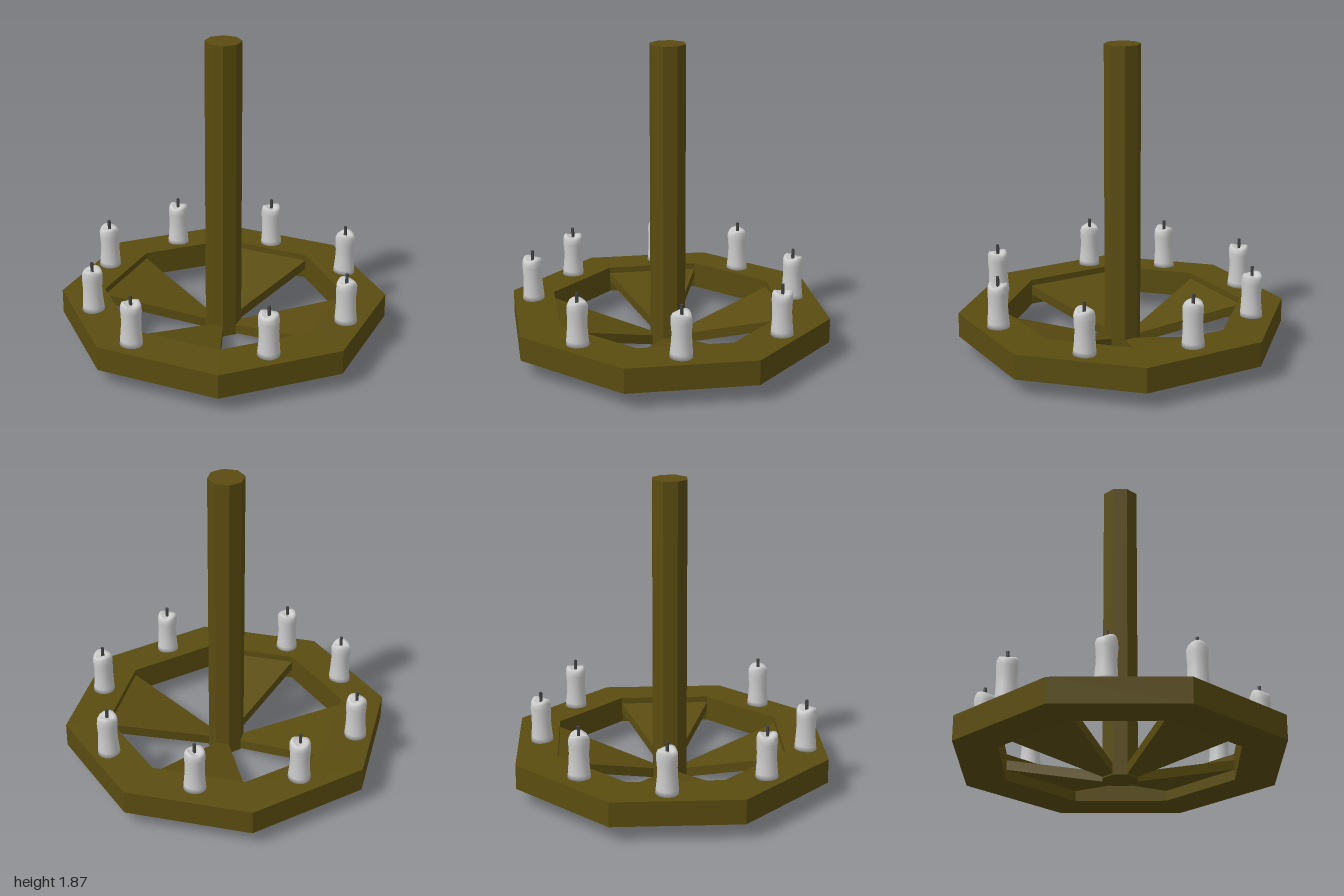
import * as THREE from 'three';
import { mergeVertices } from 'three/addons/utils/BufferGeometryUtils.js';

const SIDES = 8, RING_INNER = 0.735, POLE_RADIUS = 0.11;

const wood = new THREE.MeshStandardMaterial({ color: 0x5a4c10, flatShading: true });
const wax = new THREE.MeshStandardMaterial({ color: 0xcccccc });
const wickMat = new THREE.MeshStandardMaterial({ color: 0x444444 });

function part(name, geometry, material, parent) {
  const mesh = new THREE.Mesh(geometry, material);
  mesh.name = name;
  parent.add(mesh);
  return mesh;
}

const profile = (pairs) => pairs.map(([x, y]) => new THREE.Vector2(x, y));

// Sloping wedge between the pole and one side of the ring, bent from a box
function wedgeGeometry() {
  const geo = new THREE.BoxGeometry(1, 1, 1);
  const p = geo.attributes.position;
  for (let i = 0; i < p.count; i++) {
    const angle = p.getX(i) > 0 ? Math.PI / 4 : 0;
    const outer = p.getZ(i) > 0;
    const r = outer ? RING_INNER + 0.005 : POLE_RADIUS - 0.01;
    const y = (outer ? 0.165 : 0.005) + (p.getY(i) > 0 ? 0.06 : 0);
    p.setXYZ(i, r * Math.sin(angle), y, r * Math.cos(angle));
  }
  geo.computeVertexNormals();
  return geo;
}

// Melted candle body with wavy sides and an uneven rim around a hollow
function candleGeometry() {
  const lathe = new THREE.LatheGeometry(profile([
    [0, 0], [0.068, 0], [0.065, 0.03], [0.06, 0.09], [0.058, 0.15],
    [0.062, 0.21], [0.061, 0.25], [0.052, 0.27], [0.035, 0.264], [0, 0.25],
  ]), 16);
  lathe.deleteAttribute('normal');
  lathe.deleteAttribute('uv');
  const geo = mergeVertices(lathe, 1e-4);
  const p = geo.attributes.position;
  for (let i = 0; i < p.count; i++) {
    const x = p.getX(i), y = p.getY(i), z = p.getZ(i);
    const a = Math.atan2(x, z);
    const s = 1 + 0.025 * Math.sin(3 * a + y * 20);
    const onRim = y > 0.24 && Math.hypot(x, z) > 0.01;
    p.setXYZ(i, x * s, y + (onRim ? -0.007 + 0.009 * Math.cos(2 * a + 0.8) : 0), z * s);
  }
  geo.computeVertexNormals();
  return geo;
}

export function createModel() {
  const model = new THREE.Group();
  model.name = 'chandelier';

  // Central post
  const pole = part('pole', new THREE.CylinderGeometry(POLE_RADIUS, POLE_RADIUS, 1.87, SIDES), wood, model);
  pole.position.y = 0.935;

  // Eight-sided ring, its top slightly higher at the inner edge
  part('ring', new THREE.LatheGeometry(profile([
    [RING_INNER, 0.1], [1, 0.1], [1, 0.25], [RING_INNER, 0.262], [RING_INNER, 0.1],
  ]), SIDES), wood, model);

  // Four wedges under every second side
  const wedge = wedgeGeometry();
  for (let i = 0; i < 4; i++) {
    part('wedgeSpoke', wedge, wood, model).rotation.y = i * Math.PI / 2;
  }

  // Candles scattered unevenly around the ring
  const body = candleGeometry();
  const wick = new THREE.CylinderGeometry(0.01, 0.01, 0.07, 8);
  const spots = [
    [-0.305, -0.72], [0.315, -0.76], [0.77, -0.27], [0.74, 0.345],
    [0.11, 0.83], [-0.375, 0.725], [-0.78, 0.265], [-0.74, -0.285],
  ];
  spots.forEach(([x, z], i) => {
    const candle = new THREE.Group();
    candle.name = 'candle';
    part('candleBody', body, wax, candle);
    part('wick', wick, wickMat, candle).position.y = 0.275;
    candle.position.set(x, 0.255, z);
    candle.rotation.y = i * 0.8;
    model.add(candle);
  });

  return model;
}
